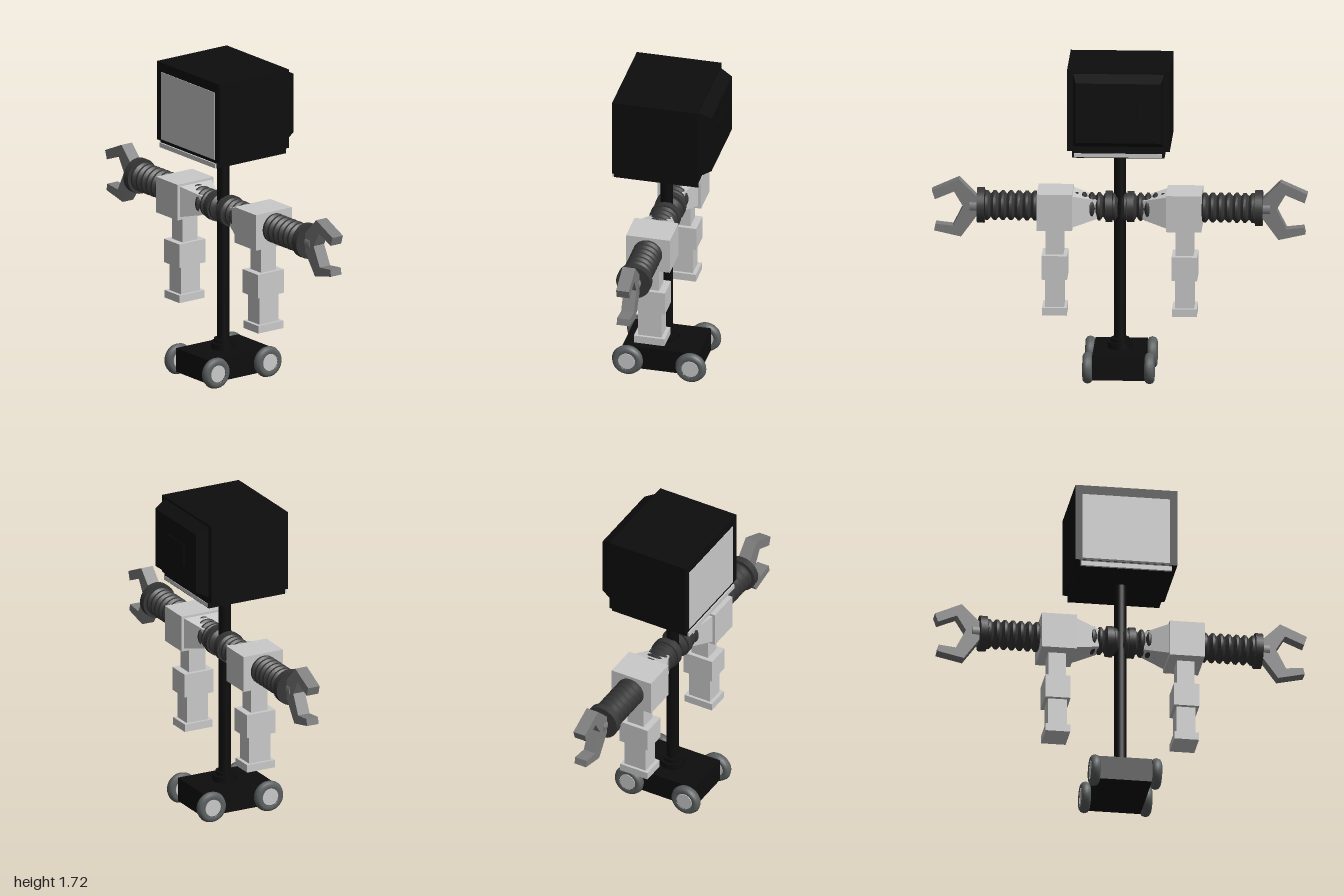
import * as THREE from 'three';
import { toCreasedNormals } from 'three/addons/utils/BufferGeometryUtils.js';

const material = (name, color) => {
  const m = new THREE.MeshStandardMaterial({ color });
  m.name = name;
  return m;
};

export function createModel() {
  const black = material('black casing', 0x0d0d0d);
  const light = material('light grey panel', 0xcacaca);
  const rubber = material('dark rubber', 0x363636);
  const steel = material('claw grey', 0x7e7e7e);
  const tyreGrey = material('tyre grey', 0x5c6060);

  const model = new THREE.Group();
  model.name = 'robot';

  function add(parent, name, geometry, mat, x = 0, y = 0, z = 0) {
    const mesh = new THREE.Mesh(geometry, mat);
    mesh.name = name;
    mesh.position.set(x, y, z);
    parent.add(mesh);
    return mesh;
  }
  // Box given by its lower and upper bounds
  function box(parent, name, mat, [x0, x1], [y0, y1], [z0, z1]) {
    return add(parent, name, new THREE.BoxGeometry(x1 - x0, y1 - y0, z1 - z0), mat,
      (x0 + x1) / 2, (y0 + y1) / 2, (z0 + z1) / 2);
  }
  // Box whose far (+z) end is scaled down
  function taperedBox(w, h, depth, scaleX, scaleY) {
    const g = new THREE.BoxGeometry(w, h, depth).toNonIndexed();
    const p = g.attributes.position;
    for (let i = 0; i < p.count; i++) {
      if (p.getZ(i) > 0) p.setXY(i, p.getX(i) * scaleX, p.getY(i) * scaleY);
    }
    g.computeVertexNormals();
    return g;
  }
  // Ribbed sleeve running along +x
  function bellows(parent, name, x0, x1, ribs, inner, outer) {
    const pts = [];
    const pitch = (x1 - x0) / ribs;
    for (let i = 0; i < ribs; i++) {
      const s = i * pitch;
      pts.push(new THREE.Vector2(inner, s), new THREE.Vector2(outer, s + pitch * 0.35),
        new THREE.Vector2(outer, s + pitch * 0.65));
    }
    pts.push(new THREE.Vector2(inner, x1 - x0));
    const g = toCreasedNormals(new THREE.LatheGeometry(pts, 28), 0.5);
    add(parent, name, g, rubber, x0).rotation.z = -Math.PI / 2;
  }
  function disc(parent, name, mat, x0, x1, r) {
    add(parent, name, new THREE.CylinderGeometry(r, r, x1 - x0, 28), mat, (x0 + x1) / 2)
      .rotation.z = -Math.PI / 2;
  }

  // Monitor head
  const head = new THREE.Group();
  head.name = 'head';
  model.add(head);
  box(head, 'casing', black, [-0.275, 0.273], [1.29, 1.726], [-0.21, 0.255]);
  box(head, 'casingFoot', black, [-0.247, 0.245], [1.253, 1.29], [-0.21, 0.252]);
  box(head, 'screen', light, [-0.237, 0.233], [1.3, 1.674], [0.252, 0.258]);
  box(head, 'frontStrip', light, [-0.245, 0.243], [1.255, 1.28], [0.252, 0.261]);
  box(head, 'backStrip', light, [-0.235, 0.235], [1.257, 1.278], [-0.213, -0.208]);
  add(head, 'backBulge', taperedBox(0.485, 0.397, 0.068, 0.93, 0.82), black,
    -0.003, 1.515, -0.244).rotation.y = Math.PI;
  box(head, 'backPlate', black, [-0.1, 0.1], [1.46, 1.58], [-0.283, -0.276]);

  // Pole and collars
  const poleParts = [['pole', 0.033, 0.15, 1.26], ['lowerCollar', 0.067, 0.15, 0.19],
    ['upperCollar', 0.05, 0.18, 0.21]];
  for (const [name, r, y0, y1] of poleParts) {
    add(model, name, new THREE.CylinderGeometry(r, r, y1 - y0, 24), black, 0, (y0 + y1) / 2, 0.022);
  }

  // Cart with four wheels
  box(model, 'cart', black, [-0.14, 0.14], [0.025, 0.157], [-0.185, 0.23]);
  const tyreProfile = [[0.05, -0.022], [0.066, -0.026], [0.079, -0.018], [0.085, 0],
    [0.079, 0.018], [0.066, 0.026], [0.05, 0.022]].map(([r, y]) => new THREE.Vector2(r, y));
  for (const side of [1, -1]) {
    for (const z of [0.197, -0.15]) {
      const wheel = new THREE.Group();
      wheel.name = 'wheel';
      wheel.position.set(side * 0.165, 0.086, z);
      wheel.rotation.z = -side * Math.PI / 2;
      add(wheel, 'tyre', new THREE.LatheGeometry(tyreProfile, 32), tyreGrey);
      add(wheel, 'rim', new THREE.CylinderGeometry(0.052, 0.052, 0.036, 32), tyreGrey);
      add(wheel, 'hubCap', new THREE.CylinderGeometry(0.046, 0.046, 0.044, 32), light);
      model.add(wheel);
    }
  }

  // Claw outline in the arm's x-y plane, relative to the arm axis
  const clawShape = new THREE.Shape([[0.755, -0.043], [0.845, -0.166], [0.988, -0.134],
    [0.98, -0.097], [0.888, -0.107], [0.834, -0.001], [0.882, 0.08], [0.984, 0.037],
    [1.0, 0.085], [0.856, 0.149], [0.755, 0.048]].map(([x, y]) => new THREE.Vector2(x, y)));

  // Arms: the second is the first turned half round
  for (const side of [1, -1]) {
    const arm = new THREE.Group();
    arm.name = side > 0 ? 'leftArm' : 'rightArm';
    arm.position.set(0, 0.93, 0.017);
    arm.rotation.y = side > 0 ? 0 : Math.PI;
    model.add(arm);

    disc(arm, 'innerRing', rubber, 0.04, 0.076, 0.083);
    bellows(arm, 'innerBellows', 0.01, 0.25, 6, 0.055, 0.075);
    add(arm, 'shoulderTaper', taperedBox(0.21, 0.17, 0.13, 0.5, 0.6), light, 0.186, -0.007)
      .rotation.y = -Math.PI / 2;
    box(arm, 'shoulderBlock', light, [0.25, 0.438], [-0.108, 0.09], [-0.12, 0.12]);
    bellows(arm, 'outerBellows', 0.43, 0.73, 7, 0.062, 0.08);
    disc(arm, 'wristRing', rubber, 0.72, 0.76, 0.095);
    disc(arm, 'clawHub', steel, 0.75, 0.8, 0.042);
    const claw = new THREE.ExtrudeGeometry(clawShape, { depth: 0.07, bevelEnabled: false });
    add(arm, 'claw', claw, steel, 0, 0, -0.035);

    // Hanging limb
    const limb = [['limbUpper', 0.047, 0.05, 0.675, 0.83], ['limbBlock', 0.068, 0.087, 0.545, 0.675],
      ['limbLower', 0.051, 0.064, 0.39, 0.545], ['limbFoot', 0.066, 0.084, 0.348, 0.39]];
    for (const [name, hx, hz, y0, y1] of limb) {
      box(arm, name, light, [0.346 - hx, 0.346 + hx], [y0 - 0.93, y1 - 0.93], [-hz, hz]);
    }
  }
  return model;
}
